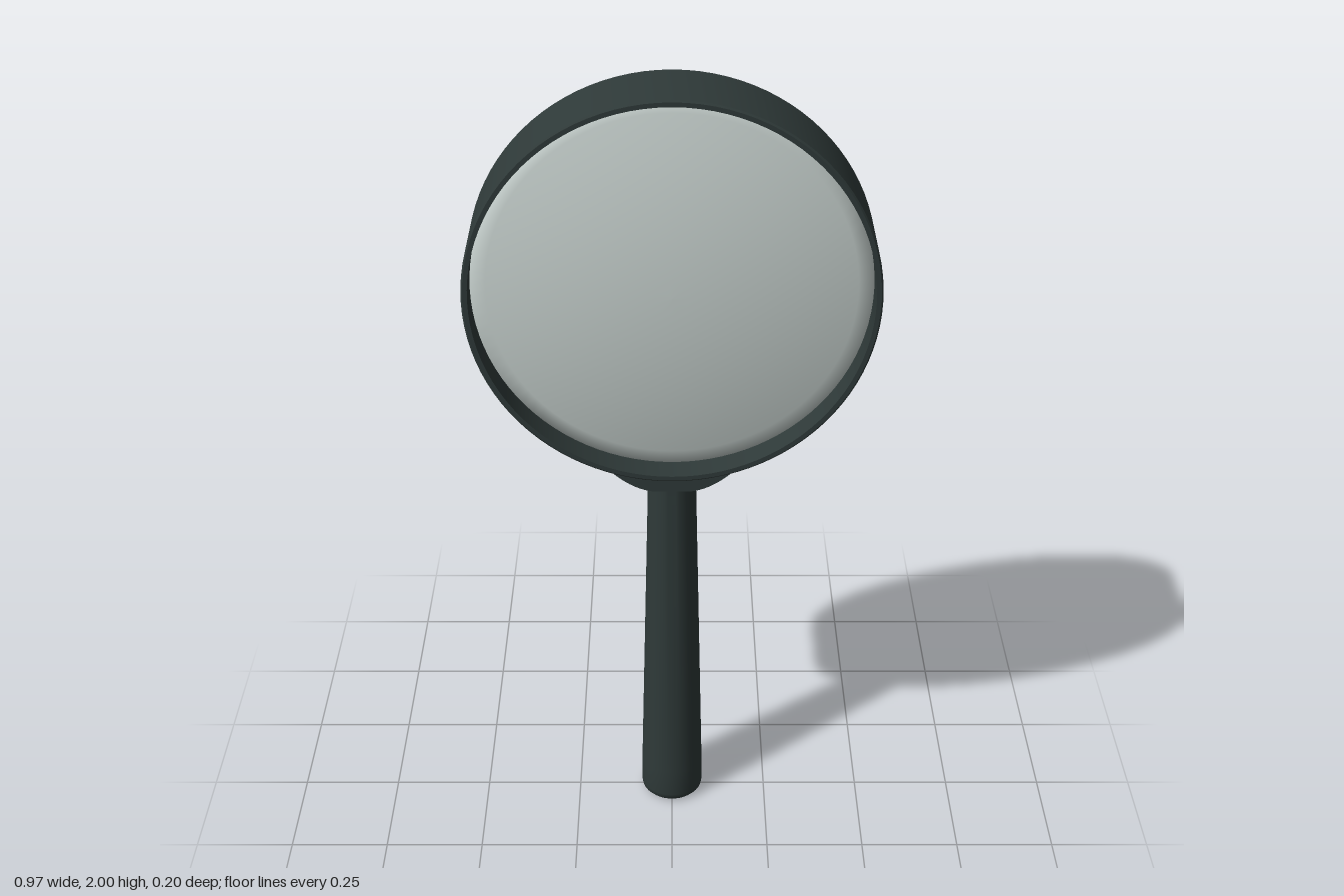
import * as THREE from 'three';
import { toCreasedNormals } from 'three/addons/utils/BufferGeometryUtils.js';

const CENTRE_Y = 1.515; // centre of the lens
const RADIUS = 0.485;   // outside of the rim

const points = (list) => list.map(([x, y]) => new THREE.Vector2(x, y));

export function createModel() {
  const model = new THREE.Group();
  model.name = 'magnifyingGlass';

  const casing = new THREE.MeshStandardMaterial({ color: 0x2f3a39 });
  casing.name = 'dark casing';
  const glass = new THREE.MeshStandardMaterial({ color: 0xc8d2cf });
  glass.name = 'pale glass';

  const add = (name, geometry, material, y = 0) => {
    const mesh = new THREE.Mesh(geometry, material);
    mesh.name = name;
    mesh.position.y = y;
    model.add(mesh);
    return mesh;
  };

  // Rim: thin, deep band with slightly softened outer edges
  const inner = RADIUS - 0.015;
  const rim = new THREE.LatheGeometry(points([
    [inner, -0.1], [RADIUS - 0.004, -0.1], [RADIUS, -0.096],
    [RADIUS, 0.096], [RADIUS - 0.004, 0.1], [inner, 0.1], [inner, -0.1],
  ]), 96);
  rim.rotateX(Math.PI / 2);
  add('rim', toCreasedNormals(rim, 0.6), casing, CENTRE_Y);

  // Lens: biconvex, its edge recessed inside the rim
  const edge = 0.03, apex = 0.085, steps = 12;
  const profile = [];
  for (const side of [-1, 1]) {
    for (let i = 0; i <= steps; i++) {
      const t = side < 0 ? i / steps : 1 - i / steps;
      const z = edge + (apex - edge) * (1 - t * t);
      profile.push([(inner + 0.003) * t, side * z]);
    }
  }
  const lens = new THREE.LatheGeometry(points(profile), 96);
  lens.rotateX(Math.PI / 2);
  add('lens', lens, glass, CENTRE_Y);

  // Neck: curved bracket that follows the rim and narrows to the handle
  const half = 0.17, arcRadius = RADIUS - 0.007;
  const angle = Math.asin(half / arcRadius);
  const topY = CENTRE_Y - Math.cos(angle) * arcRadius;
  const shape = new THREE.Shape();
  shape.moveTo(-half, topY);
  shape.quadraticCurveTo(-0.11, 1.0, -0.05, 0.99);
  shape.lineTo(0.05, 0.99);
  shape.quadraticCurveTo(0.11, 1.0, half, topY);
  shape.absarc(0, CENTRE_Y, arcRadius, -Math.PI / 2 + angle, -Math.PI / 2 - angle, true);
  const neck = new THREE.ExtrudeGeometry(shape, {
    depth: 0.156, bevelEnabled: false, curveSegments: 20,
  });
  neck.translate(0, 0, -0.078);
  add('neck', toCreasedNormals(neck, 0.6), casing);

  // Handle: tapered grip with a rounded foot
  const handle = new THREE.LatheGeometry(points([
    [0, 0], [0.06, 0], [0.072, 0.004], [0.079, 0.012], [0.081, 0.025],
    [0.08, 0.1], [0.06, 0.96], [0.06, 1.01], [0, 1.01],
  ]), 40);
  add('handle', toCreasedNormals(handle, 0.6), casing);

  return model;
}
